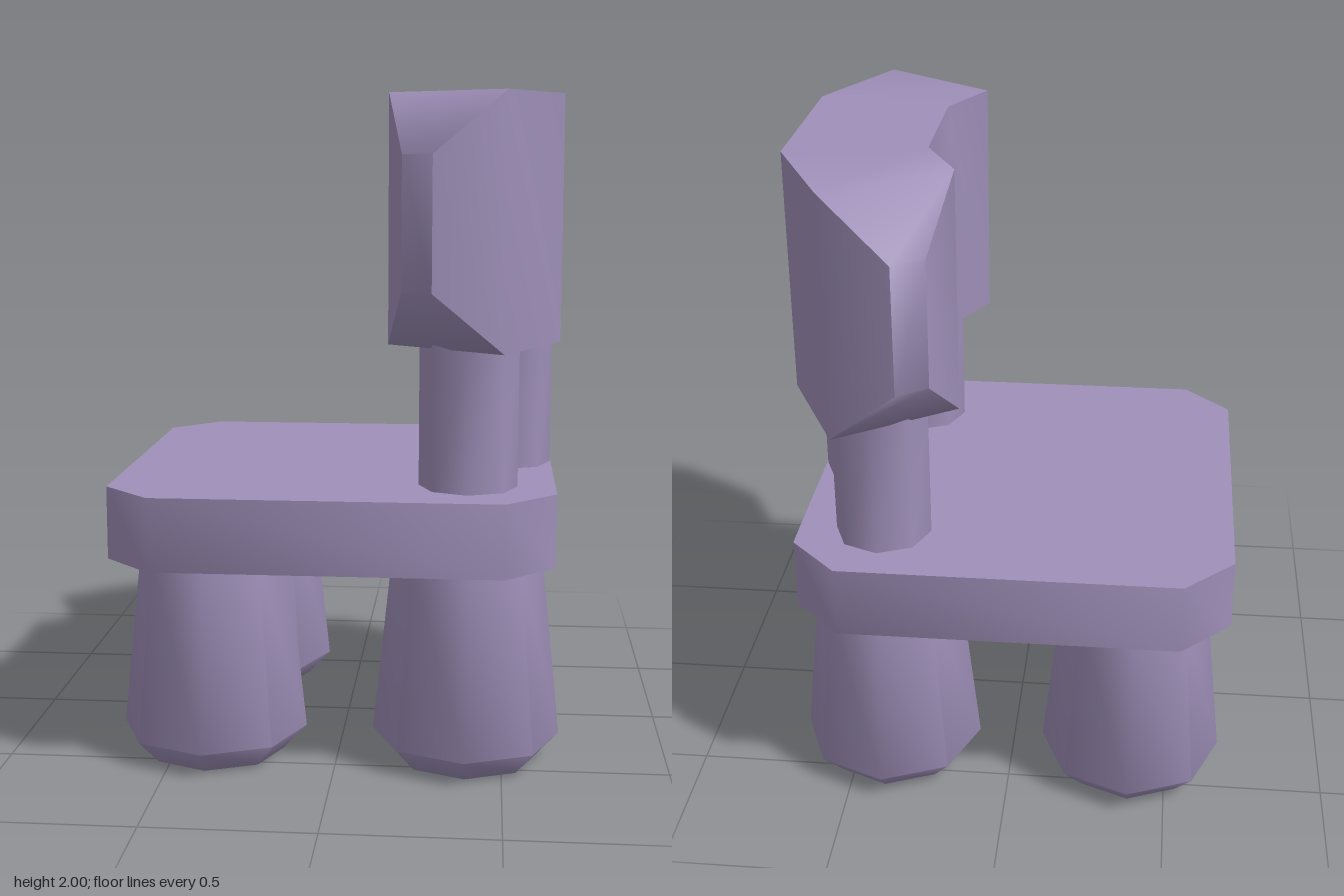
import * as THREE from 'three';
import { toCreasedNormals } from 'three/addons/utils/BufferGeometryUtils.js';

const CREASE = THREE.MathUtils.degToRad(50);

// Seat slab: a square with clipped corners
function seatGeometry() {
  const corners = [
    [-0.68, -0.515], [-0.53, -0.665], [0.5, -0.665], [0.65, -0.515],
    [0.65, 0.515], [0.5, 0.665], [-0.53, 0.665], [-0.68, 0.515],
  ];
  const shape = new THREE.Shape(corners.map(([x, z]) => new THREE.Vector2(x, z)));
  const geo = new THREE.ExtrudeGeometry(shape, { depth: 0.22, bevelEnabled: false });
  geo.rotateX(-Math.PI / 2);
  geo.translate(0, 0.63, 0);
  return toCreasedNormals(geo, CREASE);
}

// Leg: eight-sided, wider towards a bevelled foot
function legGeometry() {
  const profile = [[0, 0], [0.215, 0], [0.285, 0.075], [0.225, 0.64], [0, 0.64]];
  const geo = new THREE.LatheGeometry(profile.map(([r, y]) => new THREE.Vector2(r, y)), 8);
  return toCreasedNormals(geo, CREASE);
}

// Backrest: rectangular cross-sections swept along z, bowed and tapered at the ends
function backrestGeometry() {
  // inner x, inner z, outer x, outer z, bottom y, top y
  const half = [
    [0.2, 0.64, 0.287, 0.7, 1.445, 1.825],
    [0.15, 0.405, 0.49, 0.637, 1.27, 2],
    [0.25, 0.21, 0.66, 0.29, 1.27, 2],
  ];
  const mirrored = half.map(([xi, zi, xo, zo, b, t]) => [xi, -zi, xo, -zo, b, t]).reverse();
  const sections = [...half, ...mirrored];
  const positions = [];
  for (const [xi, zi, xo, zo, b, t] of sections) {
    positions.push(xi, t, zi, xo, t, zo, xo, b, zo, xi, b, zi);
  }
  const index = [0, 3, 2, 0, 2, 1];
  for (let i = 0; i < sections.length - 1; i++) {
    for (let j = 0; j < 4; j++) {
      const a = i * 4 + j;
      const b = i * 4 + (j + 1) % 4;
      index.push(a, b, b + 4, a, b + 4, a + 4);
    }
  }
  const e = (sections.length - 1) * 4;
  index.push(e, e + 1, e + 2, e, e + 2, e + 3);
  const geo = new THREE.BufferGeometry();
  geo.setAttribute('position', new THREE.Float32BufferAttribute(positions, 3));
  geo.setIndex(index);
  return toCreasedNormals(geo, CREASE);
}

export function createModel() {
  const chair = new THREE.Group();
  chair.name = 'chair';
  const purple = new THREE.MeshStandardMaterial({ color: 0x9e8fb8 });
  purple.name = 'dusty purple';

  const add = (name, geometry, x = 0, y = 0, z = 0) => {
    const mesh = new THREE.Mesh(geometry, purple);
    mesh.name = name;
    mesh.position.set(x, y, z);
    chair.add(mesh);
  };

  add('seat', seatGeometry());
  add('backrest', backrestGeometry());

  // Four legs
  const leg = legGeometry();
  for (const x of [-0.385, 0.39]) {
    for (const z of [-0.37, 0.37]) add('leg', leg, x, 0, z);
  }

  // Three posts between seat and backrest, the middle one set further back
  const post = toCreasedNormals(new THREE.CylinderGeometry(0.147, 0.147, 0.46, 8), CREASE);
  for (const [x, z] of [[0.39, 0.408], [0.5, 0], [0.39, -0.408]]) {
    add('backPost', post, x, 1.06, z);
  }
  return chair;
}
